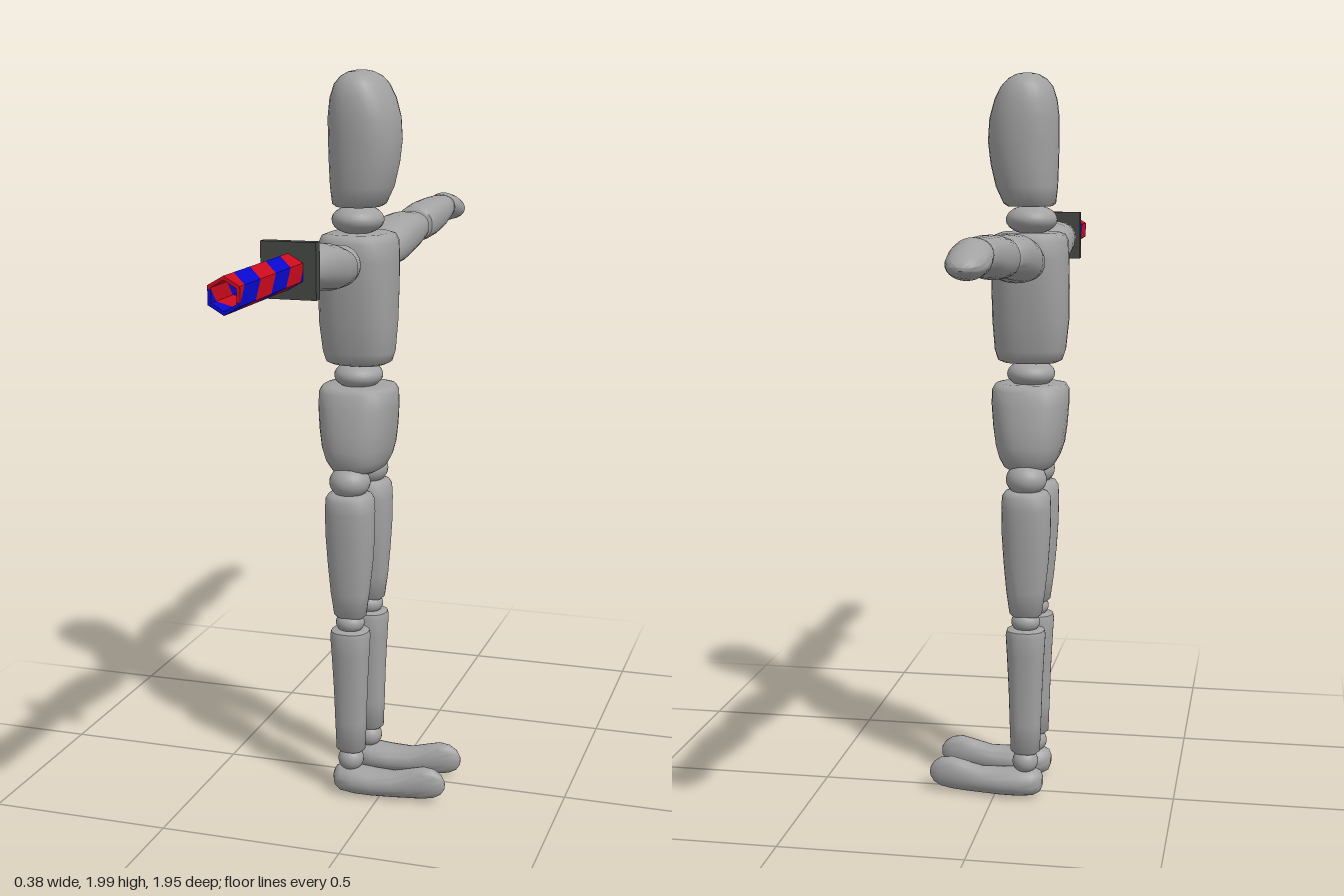
import * as THREE from 'three';
import { toCreasedNormals } from 'three/addons/utils/BufferGeometryUtils.js';

const mat = (name, color, side = THREE.FrontSide) => {
  const m = new THREE.MeshStandardMaterial({ color, side });
  m.name = name;
  return m;
};

const CX = -0.086, CZ = 0.048; // body axis

// Closed body through rounded cross-sections: [t, centreU, halfU, centreV, halfV]
// axis y: u = x, v = z;  axis z: u = x, v = y;  axis x: u = z, v = y
function loft(axis, rings, power = 2, n = 28) {
  const pos = [], idx = [];
  const put = (t, u, v) => {
    if (axis === 'y') pos.push(u, t, v);
    else if (axis === 'z') pos.push(u, v, t);
    else pos.push(t, v, u);
  };
  const round = (c) => Math.sign(c) * Math.abs(c) ** (2 / power);
  for (const [t, cu, hu, cv, hv] of rings) {
    for (let i = 0; i < n; i++) {
      const a = (i / n) * Math.PI * 2;
      put(t, cu + hu * round(Math.cos(a)), cv + hv * round(Math.sin(a)));
    }
  }
  const last = rings.length - 1;
  put(rings[0][0], rings[0][1], rings[0][3]);
  put(rings[last][0], rings[last][1], rings[last][3]);
  const flip = (axis !== 'z') !== (rings[last][0] < rings[0][0]);
  const tri = (a, b, c) => (flip ? idx.push(a, c, b) : idx.push(a, b, c));
  for (let i = 0; i < n; i++) {
    const j = (i + 1) % n;
    for (let r = 0; r < last; r++) {
      const a = r * n + i, b = r * n + j;
      tri(a, b, b + n);
      tri(a, b + n, a + n);
    }
    tri(n * (last + 1), j, i);
    tri(n * (last + 1) + 1, last * n + i, last * n + j);
  }
  const g = new THREE.BufferGeometry();
  g.setAttribute('position', new THREE.Float32BufferAttribute(pos, 3));
  g.setIndex(idx);
  return toCreasedNormals(g, 0.9);
}

export function createModel() {
  const model = new THREE.Group();
  model.name = 'mannequin';
  const grey = mat('body grey', 0xa2a2a2);
  const dark = mat('guard dark grey', 0x454745);
  const red = mat('stripe red', 0xcc0a1e, THREE.DoubleSide);
  const blue = mat('stripe blue', 0x0808cc, THREE.DoubleSide);

  const add = (name, geo, m = grey) => {
    const mesh = new THREE.Mesh(geo, m);
    mesh.name = name;
    model.add(mesh);
    return mesh;
  };
  const joint = (name, x, y, z, rx, ry, rz) => {
    const mesh = add(name, new THREE.SphereGeometry(1, 24, 16));
    mesh.position.set(x, y, z);
    mesh.scale.set(rx, ry, rz);
  };

  // Head, with the face towards +x
  add('head', loft('y', [
    [1.648, -0.082, 0.060, CZ, 0.070], [1.655, -0.081, 0.070, CZ, 0.080], [1.70, -0.073, 0.083, CZ, 0.091],
    [1.76, -0.067, 0.091, CZ, 0.099], [1.82, -0.064, 0.095, CZ, 0.104], [1.88, -0.066, 0.093, CZ, 0.107],
    [1.93, -0.070, 0.083, CZ, 0.104], [1.965, -0.073, 0.068, CZ, 0.094], [1.985, -0.074, 0.050, CZ, 0.078],
    [1.996, -0.075, 0.030, CZ, 0.052], [2.0, -0.075, 0.010, CZ, 0.022],
  ], 2.3));
  joint('neck', CX, 1.612, CZ, 0.070, 0.040, 0.077);

  // Torso
  add('chest', loft('y', [
    [1.225, -0.084, 0.072, CZ, 0.058], [1.232, -0.084, 0.088, CZ, 0.072], [1.26, -0.084, 0.097, CZ, 0.080],
    [1.34, -0.085, 0.104, CZ, 0.094], [1.43, -0.084, 0.105, CZ, 0.105], [1.51, -0.083, 0.104, CZ, 0.112],
    [1.555, -0.083, 0.102, CZ, 0.112], [1.572, -0.083, 0.094, CZ, 0.105], [1.578, -0.083, 0.078, CZ, 0.088],
  ], 2.6));
  joint('waist', CX, 1.193, CZ, 0.066, 0.038, 0.073);
  add('pelvis', loft('y', [
    [0.932, -0.083, 0.055, CZ, 0.088], [0.940, -0.083, 0.068, CZ, 0.106], [0.965, -0.084, 0.082, CZ, 0.121],
    [1.0, -0.085, 0.093, CZ, 0.126], [1.05, -0.085, 0.100, CZ, 0.123], [1.11, -0.085, 0.105, CZ, 0.113],
    [1.15, -0.085, 0.105, CZ, 0.102], [1.164, -0.085, 0.097, CZ, 0.094], [1.168, -0.085, 0.080, CZ, 0.078],
  ], 2.6));

  // Legs
  for (const s of [1, -1]) {
    const side = s > 0 ? 'front' : 'rear';
    const z = CZ + s * 0.082, zs = CZ + s * 0.086;
    joint(side + 'Hip', CX, 0.912, z, 0.056, 0.045, 0.057);
    add(side + 'Thigh', loft('y', [
      [0.527, CX, 0.036, zs, 0.026], [0.535, CX, 0.045, zs, 0.033], [0.60, CX, 0.054, zs, 0.043],
      [0.68, CX, 0.062, z, 0.052], [0.76, CX, 0.067, z, 0.059], [0.83, CX, 0.068, z, 0.062],
      [0.865, CX, 0.066, z, 0.061], [0.878, CX, 0.058, z, 0.053], [0.882, CX, 0.040, z, 0.038],
    ], 2.3));
    joint(side + 'Knee', CX, 0.512, zs, 0.040, 0.030, 0.038);
    add(side + 'Shin', loft('y', [
      [0.132, CX, 0.032, zs, 0.025], [0.14, CX, 0.041, zs, 0.032], [0.22, CX, 0.044, zs, 0.035],
      [0.32, CX, 0.047, zs, 0.040], [0.42, CX, 0.052, zs, 0.047], [0.475, CX, 0.055, zs, 0.052],
      [0.489, CX, 0.052, zs, 0.049], [0.494, CX, 0.038, zs, 0.036],
    ], 2.3));
    joint(side + 'Ankle', CX, 0.108, zs, 0.036, 0.034, 0.036);
    add(side + 'Foot', loft('x', [
      [-0.135, zs, 0.012, 0.052, 0.014], [-0.128, zs, 0.028, 0.050, 0.030], [-0.11, zs, 0.042, 0.049, 0.039],
      [-0.07, zs, 0.048, 0.047, 0.041], [-0.02, zs, 0.046, 0.045, 0.039], [0.04, zs, 0.037, 0.046, 0.038],
      [0.09, zs, 0.031, 0.054, 0.044], [0.125, zs, 0.027, 0.060, 0.047], [0.155, zs, 0.022, 0.061, 0.042],
      [0.175, zs, 0.015, 0.060, 0.030], [0.186, zs, 0.006, 0.059, 0.013],
    ]));

    // Shoulder and upper arm, measured outwards from the body axis
    const out = (rings) => rings.map(([d, hx, y, hy]) => [CZ + s * d, CX, hx, y, hy]);
    joint(side + 'Shoulder', CX, 1.508, CZ + s * 0.146, 0.053, 0.053, 0.042);
    add(side + 'UpperArm', loft('z', out([
      [0.177, 0.040, 1.507, 0.034], [0.182, 0.056, 1.508, 0.045], [0.20, 0.065, 1.510, 0.052],
      [0.27, 0.070, 1.520, 0.060], [0.34, 0.070, 1.530, 0.060], [0.42, 0.066, 1.537, 0.054],
      [0.49, 0.059, 1.541, 0.045], [0.505, 0.052, 1.542, 0.039], [0.51, 0.036, 1.542, 0.028],
    ]), 2.3));
    if (s > 0) continue;

    // Complete arm on the rear side
    joint('elbow', CX, 1.543, CZ - 0.524, 0.040, 0.036, 0.030);
    add('forearm', loft('z', out([
      [0.536, 0.040, 1.541, 0.034], [0.541, 0.054, 1.541, 0.046], [0.56, 0.058, 1.543, 0.051],
      [0.64, 0.059, 1.549, 0.053], [0.72, 0.056, 1.555, 0.049], [0.80, 0.049, 1.563, 0.041],
      [0.84, 0.044, 1.566, 0.036], [0.848, 0.032, 1.567, 0.026],
    ]), 2.3));
    add('hand', loft('z', out([
      [0.832, 0.028, 1.576, 0.022], [0.84, 0.041, 1.574, 0.031], [0.87, 0.048, 1.568, 0.039],
      [0.91, 0.051, 1.559, 0.041], [0.95, 0.048, 1.552, 0.035], [0.985, 0.038, 1.549, 0.024],
      [1.008, 0.024, 1.548, 0.013], [1.018, 0.009, 1.547, 0.005],
    ])));
  }

  // Square guard at the end of the front arm
  const GY = 1.545;
  const guard = add('guard', new THREE.BoxGeometry(0.14, 0.138, 0.028), dark);
  guard.position.set(CX, GY, 0.569);

  // Hollow hexagonal tube with a spiral stripe
  const Z0 = 0.583, Z1 = 0.98, PITCH = 0.19, COLS = 6;
  const faces = { red: [], blue: [] };
  const quad = (list, a, b, c, d) => list.push(...a, ...b, ...c, ...a, ...c, ...d);
  const onHex = (k, r) => { // point on the hexagon and its stripe offset
    const side = Math.floor(k / COLS), f = (k % COLS) / COLS;
    const a = Math.PI / 2 + side * Math.PI / 3, b = a + Math.PI / 3;
    const p = (fn) => r * (fn(a) * (1 - f) + fn(b) * f);
    const angle = a + f * Math.PI / 3;
    return { x: CX + p(Math.cos), y: GY - 0.002 + p(Math.sin), shift: -angle / (2 * Math.PI) * PITCH };
  };
  const clamp = (z) => Math.min(Z1, Math.max(Z0, z));
  for (let k = 0; k < 6 * COLS; k++) {
    for (const r of [0.0435, 0.034]) {
      const p = onHex(k, r), q = onHex(k + 1, r);
      for (let h = -10; h < 10; h++) { // half-pitch bands, blue and red in turn
        const lo = 0.92 - PITCH / 4 + h * PITCH / 2, hi = lo + PITCH / 2;
        const [p0, p1, q0, q1] = [lo + p.shift, hi + p.shift, lo + q.shift, hi + q.shift].map(clamp);
        if (p1 - p0 + q1 - q0 < 1e-6) continue;
        const c = [[p.x, p.y, p0], [q.x, q.y, q0], [q.x, q.y, q1], [p.x, p.y, p1]];
        if (r < 0.04) c.reverse();
        quad(h % 2 === 0 ? faces.blue : faces.red, ...c);
      }
    }
    // End rim
    const [a, b, c, d] = [[k, 0.0435], [k + 1, 0.0435], [k + 1, 0.034], [k, 0.034]].map(([i, r]) => onHex(i, r));
    const phase = (Z1 - 0.92 - (a.shift + b.shift) / 2) / PITCH;
    const list = Math.abs(phase - Math.round(phase)) < 0.25 ? faces.blue : faces.red;
    quad(list, ...[a, b, c, d].map((v) => [v.x, v.y, Z1]));
  }
  for (const [name, m] of [['red', red], ['blue', blue]]) {
    const g = new THREE.BufferGeometry();
    g.setAttribute('position', new THREE.Float32BufferAttribute(faces[name], 3));
    g.computeVertexNormals();
    add(name + 'TubeStripe', g, m);
  }
  return model;
}
